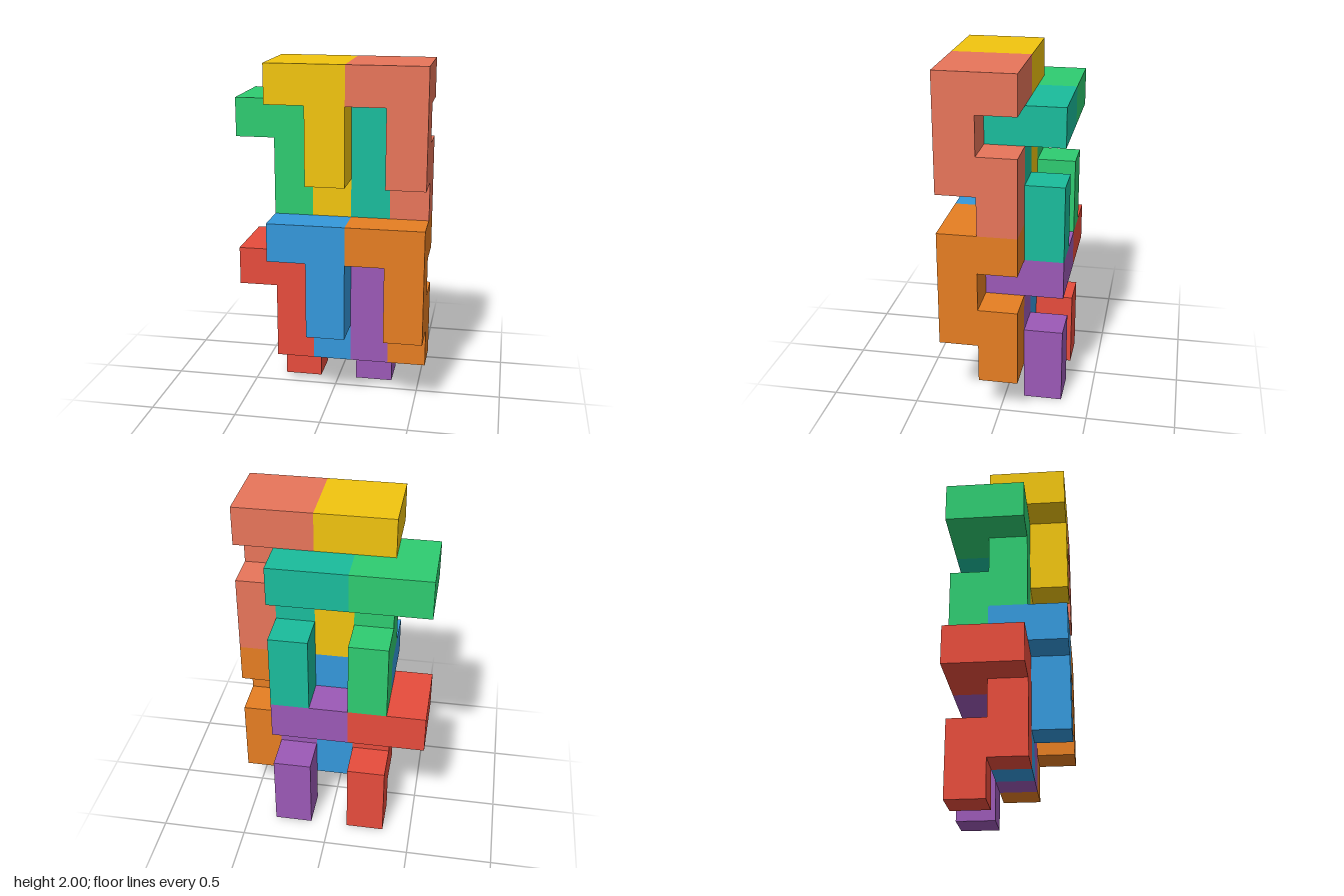
import * as THREE from 'three';

const U = 2 / 9; // edge of one cube cell

// Hooked half: end of the top plate, stepping down and back (profile in z, y), one cell wide
function hookGeometry() {
  const profile = [[0, 0], [0, -1], [1, -1], [1, -2], [0, -2], [0, -4], [1, -4], [1, -3], [2, -3], [2, 0]];
  const shape = new THREE.Shape(profile.map(([z, y]) => new THREE.Vector2(z * U, y * U)));
  const geo = new THREE.ExtrudeGeometry(shape, { depth: U, bevelEnabled: false });
  geo.rotateY(-Math.PI / 2); // profile into the z-y plane
  geo.translate(2 * U, 0, 0);
  return geo;
}

// Plain half of the top plate
function plateGeometry() {
  const geo = new THREE.BoxGeometry(U, U, 2 * U);
  geo.translate(U / 2, -U / 2, U);
  return geo;
}

export function createModel() {
  const model = new THREE.Group();
  model.name = 'interlockingBlocks';
  const hook = hookGeometry();
  const plate = plateGeometry();

  // name, colour, cell position of the left, top, back corner
  const pieces = [
    ['upperFrontYellowPiece', 0xf1c40f, 1, 9, 1],
    ['upperFrontCoralPiece', 0xe8755a, 3, 9, 1],
    ['upperBackGreenPiece', 0x2ecc71, 0, 8, 0],
    ['upperBackTealPiece', 0x1abc9c, 2, 8, 0],
    ['lowerFrontBluePiece', 0x3498db, 1, 5, 1],
    ['lowerFrontOrangePiece', 0xe67e22, 3, 5, 1],
    ['lowerBackRedPiece', 0xe74c3c, 0, 4, 0],
    ['lowerBackPurplePiece', 0x9b59b6, 2, 4, 0],
  ];

  for (const [name, color, x, y, z] of pieces) {
    const piece = new THREE.Group();
    piece.name = name;
    const material = new THREE.MeshStandardMaterial({ color });
    const hookMesh = new THREE.Mesh(hook, material);
    hookMesh.name = 'hook';
    const plateMesh = new THREE.Mesh(plate, material);
    plateMesh.name = 'plate';
    piece.add(hookMesh, plateMesh);
    piece.position.set((x - 2.5) * U, y * U, (z - 1.5) * U);
    model.add(piece);
  }
  return model;
}
